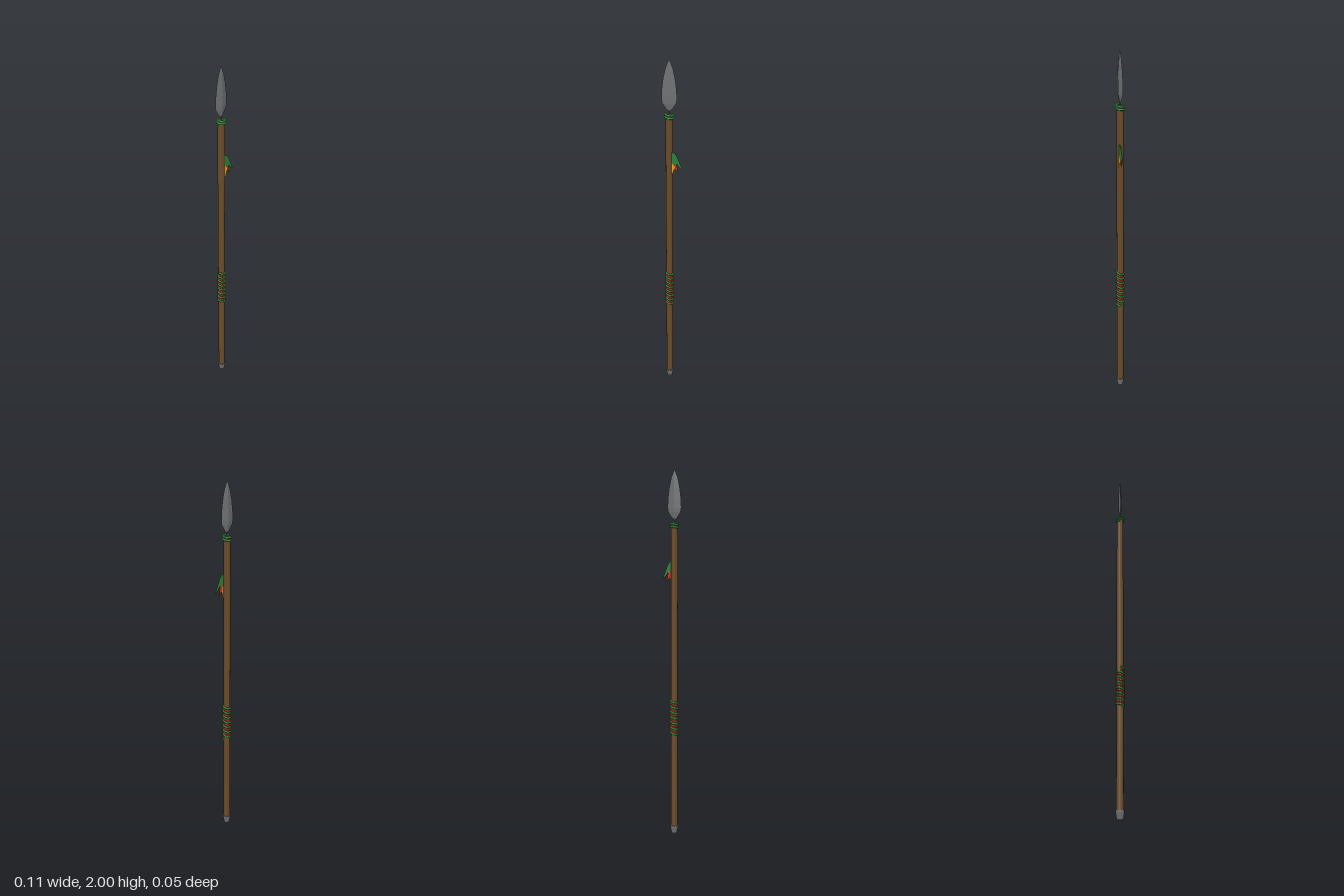
import * as THREE from 'three';

const AXIS = -0.016; // the pole stands slightly off centre, balancing the feathers

const mat = (name, color, flatShading = true) => {
  const m = new THREE.MeshStandardMaterial({ color, flatShading });
  m.name = name;
  return m;
};

export function createModel() {
  const wood = mat('wood', 0x6b4b29);
  const steel = mat('steel', 0x6f7173);
  const cord = mat('green cord', 0x287a36, false);
  const red = mat('red', 0xc8351f);
  const green = mat('feather green', 0x27823c);
  const yellow = mat('yellow', 0xe0a81e);

  const model = new THREE.Group();
  model.name = 'spear';
  const add = (name, geometry, material, x = AXIS, y = 0, z = 0) => {
    const mesh = new THREE.Mesh(geometry, material);
    mesh.name = name;
    mesh.position.set(x, y, z);
    model.add(mesh);
  };
  const lathe = (pts, sides) =>
    new THREE.LatheGeometry(pts.map(([r, y]) => new THREE.Vector2(r, y)), sides);

  // Wooden pole and metal butt cap
  add('shaft', new THREE.CylinderGeometry(0.0185, 0.0185, 1.69, 12), wood, AXIS, 0.88);
  add('buttCap', lathe([[0, 0], [0.016, 0], [0.0225, 0.036], [0.0225, 0.045], [0, 0.047]], 14), steel);

  // Leaf blade with a shallow diamond cross-section, on a thin tang
  const blade = lathe([[0, 1.74], [0.013, 1.75], [0.034, 1.781], [0.038, 1.802], [0.036, 1.85],
    [0.029, 1.905], [0.018, 1.955], [0, 2]], 4);
  blade.scale(1, 1, 0.26);
  add('blade', blade, steel);
  add('tang', new THREE.CylinderGeometry(0.003, 0.003, 0.03, 6), steel, AXIS, 1.735);

  // Cord coiled around the pole, with a red thread lying between its turns
  const coil = (name, y0, y1, turns, radius, thick, material) => {
    const pts = [];
    const n = Math.round(turns * 12);
    for (let i = 0; i <= n; i++) {
      const a = Math.PI + (i / 12) * Math.PI * 2;
      pts.push(new THREE.Vector3(Math.cos(a) * radius, y1 + (y0 - y1) * i / n, -Math.sin(a) * radius));
    }
    const path = new THREE.CatmullRomCurve3(pts);
    add(name, new THREE.TubeGeometry(path, n * 2, thick, 14), material);
  };
  coil('gripCord', 0.564, 0.786, 7.5, 0.0198, 0.0056, cord);
  coil('gripThread', 0.579, 0.7712, 6.5, 0.019, 0.0042, red);
  coil('neckCord', 1.702, 1.73, 2, 0.0198, 0.0056, cord);

  // Thin feathers hanging at the left side
  const feather = (name, pts, material, z) => {
    const shape = new THREE.Shape(pts.map(([x, y]) => new THREE.Vector2(x, y)));
    add(name, new THREE.ExtrudeGeometry(shape, { depth: 0.003, bevelEnabled: false }), material, 0, 0, z);
  };
  feather('greenFeather', [[-0.005, 1.53], [0.014, 1.525], [0.026, 1.505], [0.054, 1.434],
    [0.033, 1.449], [0.026, 1.465], [0.012, 1.462], [-0.004, 1.466]], green, 0.0095);
  feather('redFeather', [[0.006, 1.475], [0.02, 1.475], [0.025, 1.452], [0.031, 1.418],
    [0.015, 1.438], [0.008, 1.44]], red, 0.009);
  feather('yellowFeather', [[-0.005, 1.472], [0.011, 1.46], [0.013, 1.438], [0.009, 1.43],
    [0.001, 1.402], [-0.006, 1.43]], yellow, 0.01);

  return model;
}
